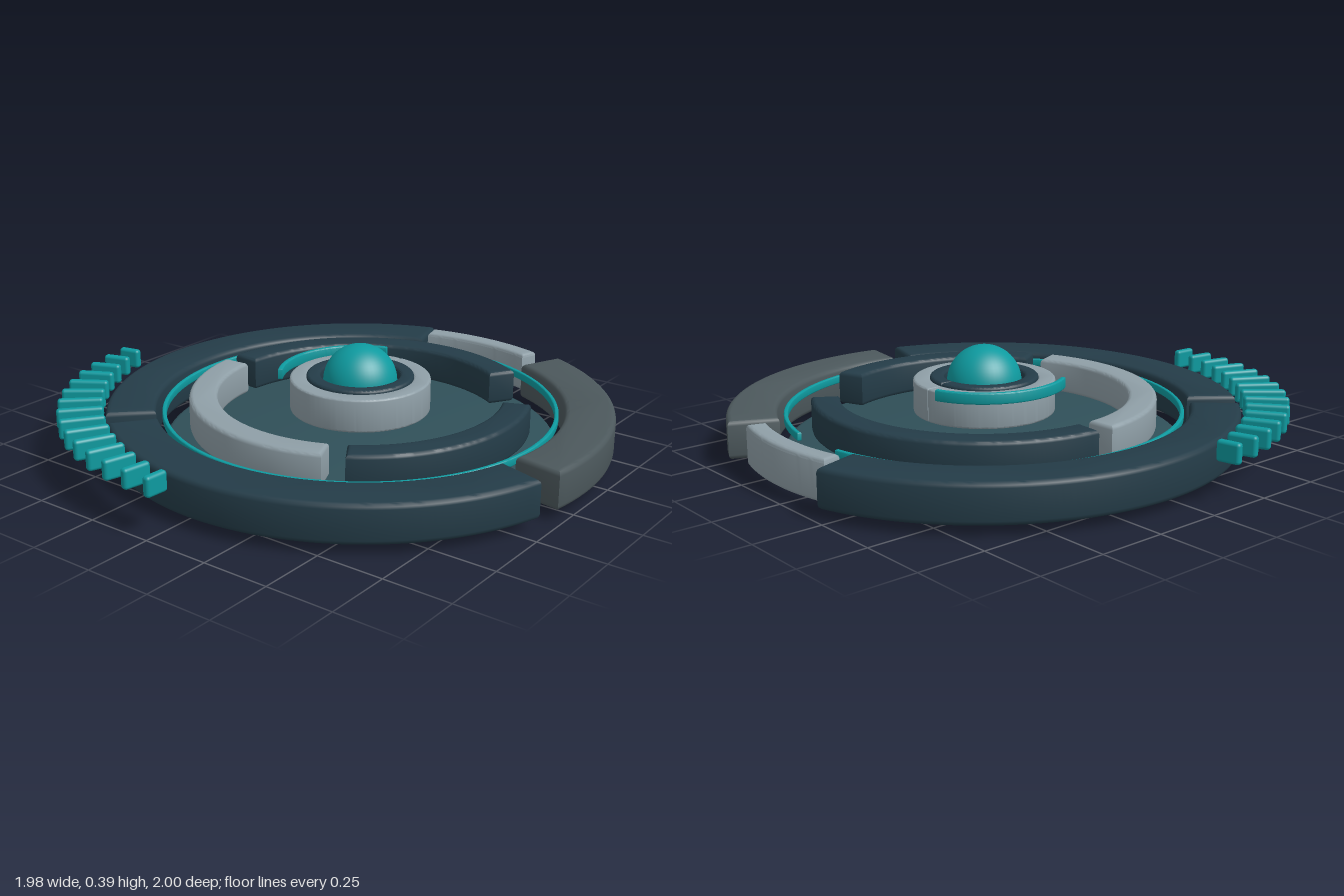
import * as THREE from 'three';
import { toCreasedNormals } from 'three/addons/utils/BufferGeometryUtils.js';
import { RoundedBoxGeometry } from 'three/addons/geometries/RoundedBoxGeometry.js';

const mat = (color) => new THREE.MeshStandardMaterial({ color });
const rad = THREE.MathUtils.degToRad;

export function createModel() {
  const model = new THREE.Group();
  model.name = 'radialDial';
  const dial = new THREE.Group();
  dial.name = 'dial';
  dial.position.set(0.083, 0, 0.054);
  model.add(dial);

  const teal = mat(0x0e9a9f);
  const dark = mat(0x243c48);
  const grey = mat(0x4c585c);
  const light = mat(0x8f9fa7);
  const floor = mat(0x305059);

  function add(name, geometry, material) {
    const mesh = new THREE.Mesh(geometry, material);
    mesh.name = name;
    dial.add(mesh);
    return mesh;
  }

  // Bevelled ring segment lying flat; angles in degrees, counter-clockwise from above
  function arc(name, material, r0, r1, y0, y1, from, to, bevel) {
    const inset = bevel / ((r0 + r1) / 2);
    const a = rad(from) + inset;
    const b = rad(to) - inset;
    const shape = new THREE.Shape();
    shape.absarc(0, 0, r1 - bevel, a, b, false);
    shape.absarc(0, 0, r0 + bevel, b, a, true);
    const geo = new THREE.ExtrudeGeometry(shape, {
      depth: y1 - y0 - 2 * bevel,
      bevelThickness: bevel,
      bevelSize: bevel,
      bevelSegments: 3,
      curveSegments: Math.max(16, Math.ceil((to - from) / 3)),
    });
    geo.translate(0, 0, y0 + bevel);
    geo.rotateX(-Math.PI / 2);
    return add(name, toCreasedNormals(geo, rad(40)), material);
  }

  // Base disc with softened rim
  const rim = [[0, 0], [0.715, 0], [0.727, 0.004], [0.73, 0.012], [0.73, 0.03], [0.726, 0.037], [0.715, 0.04], [0, 0.04]];
  const discGeo = new THREE.LatheGeometry(rim.map(([x, y]) => new THREE.Vector2(x, y)), 96);
  add('baseDisc', toCreasedNormals(discGeo, rad(50)), floor);

  // Outer ring segments
  arc('outerSegmentBack', dark, 0.757, 0.94, 0.035, 0.178, 16, 137.3, 0.018);
  arc('outerSegmentRight', dark, 0.757, 0.94, 0.035, 0.178, 142.4, 254.8, 0.018);
  arc('outerSegmentFront', grey, 0.757, 0.94, 0.035, 0.178, 260, 337.3, 0.018);
  arc('outerSegmentLeft', light, 0.815, 0.888, 0.035, 0.187, -17.7, 15.4, 0.015);

  // Thin glowing band inside the outer ring
  arc('thinBand', teal, 0.72, 0.735, 0.13, 0.16, 8, 349, 0.004);

  // Inner ring segments
  arc('innerSegmentRight', light, 0.53, 0.635, 0.085, 0.212, 93, 204.7, 0.015);
  arc('innerSegmentLeft', dark, 0.53, 0.635, 0.085, 0.212, -33.8, 87.7, 0.015);
  arc('innerSegmentFront', dark, 0.53, 0.635, 0.085, 0.212, 211.7, 293.5, 0.015);

  // Hub: split collar, dark socket, dome and small accent arc
  arc('hubCollar', light, 0.198, 0.262, 0.14, 0.265, 0.1, 359.9, 0.008);
  arc('domeSocket', dark, 0.148, 0.2, 0.2, 0.276, 0, 360, 0.01);
  add('dome', new THREE.SphereGeometry(0.138, 48, 32), teal).position.y = 0.248;
  arc('accentArc', teal, 0.289, 0.307, 0.243, 0.285, 16, 124, 0.005);

  // Fan of radial ticks, longest in the middle
  const ticks = new THREE.Group();
  ticks.name = 'ticks';
  dial.add(ticks);
  const count = 15;
  for (let i = 0; i < count; i++) {
    const t = i / (count - 1);
    const angle = rad(176.8 - 75.9 * t);
    const length = 0.088 + 0.08 * Math.sin(Math.PI * t);
    const tick = new THREE.Mesh(new RoundedBoxGeometry(length, 0.075, 0.03, 3, 0.012), teal);
    tick.name = 'tick';
    tick.position.set(Math.cos(angle) * 1.03, 0.18, -Math.sin(angle) * 1.03);
    tick.rotation.y = angle;
    ticks.add(tick);
  }

  return model;
}
